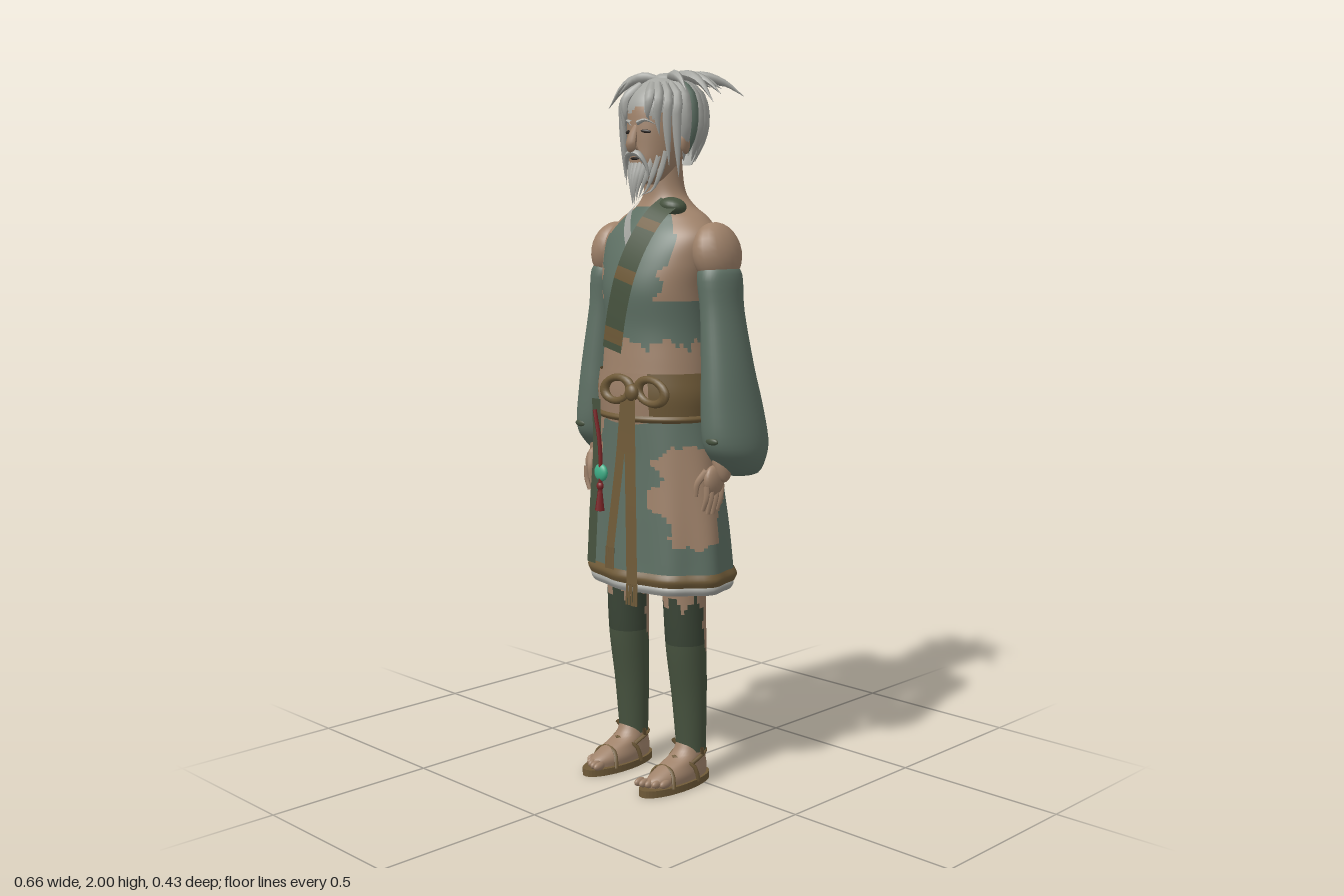
import * as THREE from 'three';

const mat = (name, color, side = THREE.DoubleSide) => {
  const m = new THREE.MeshStandardMaterial({ color, side });
  m.name = name;
  return m;
};
const V = (p) => new THREE.Vector3(...p);

export function createModel() {
  const skin = mat('skin', 0x9f826a), tunic = mat('tunicGreen', 0x5e7064), dark = mat('darkGreen', 0x47533f),
    band = mat('bandGreen', 0x3a4536), brown = mat('beltBrown', 0x6f5a38), hair = mat('greyHair', 0xa5a6a1),
    jade = mat('jade', 0x3fae87), red = mat('cordRed', 0x7c2426), ink = mat('ink', 0x2c2622);
  const model = new THREE.Group();
  model.name = 'elderWanderer';

  const add = (name, geo, material, parent = model) => {
    const m = new THREE.Mesh(geo, material);
    m.name = name;
    parent.add(m);
    return m;
  };
  const ball = (name, pos, size, material, rot = [0, 0, 0], parent = model) => {
    const m = add(name, new THREE.SphereGeometry(1, 20, 14), material, parent);
    m.position.set(...pos); m.scale.set(...size); m.rotation.set(...rot);
    return m;
  };

  // Smooth body of elliptic rings [y, cx, cz, rx, rz], bottom to top.
  // pick(angle, y) gives the material of each face; angle 0 is the front, null leaves a hole.
  const loft = (name, rings, pick, { seg = 40, rows = 32, ruffle = () => 0, parent = model } = {}) => {
    const f = new THREE.CubicInterpolant(rings.map((_, i) => i), rings.flat(), 5);
    const pos = [], buckets = new Map();
    for (let i = 0; i <= rows; i++) {
      const [y, cx, cz, rx, rz] = f.evaluate((i / rows) * (rings.length - 1));
      for (let j = 0; j < seg; j++) {
        const a = (j / seg) * Math.PI * 2, k = 1 + ruffle(a, y);
        pos.push(cx + Math.abs(rx) * k * Math.sin(a), y, cz + Math.abs(rz) * k * Math.cos(a));
      }
    }
    for (let i = 0; i < rows; i++) for (let j = 0; j < seg; j++) {
      let a = ((j + 0.5) / seg) * Math.PI * 2;
      if (a > Math.PI) a -= Math.PI * 2;
      const p = i * seg + j, q = i * seg + (j + 1) % seg;
      const m = pick(a, (pos[p * 3 + 1] + pos[(p + seg) * 3 + 1]) / 2);
      if (!m) continue;
      if (!buckets.has(m)) buckets.set(m, []);
      buckets.get(m).push(p, q, q + seg, p, q + seg, p + seg);
    }
    const geo = new THREE.BufferGeometry(), index = [], mats = [];
    for (const [m, list] of buckets) {
      geo.addGroup(index.length, list.length, mats.length);
      mats.push(m);
      index.push(...list);
    }
    geo.setAttribute('position', new THREE.Float32BufferAttribute(pos, 3));
    geo.setIndex(index);
    geo.computeVertexNormals();
    return add(name, geo, mats, parent);
  };

  // Tapered lock along a curve; w(t) is the thickness rule
  const lock = (name, pts, r, material, w = (t) => 1 - t, sides = 6, parent = model) => {
    const n = 10, curve = new THREE.CatmullRomCurve3(pts.map(V));
    const geo = new THREE.TubeGeometry(curve, n, r, sides), at = geo.attributes.position, v = new THREE.Vector3();
    for (let i = 0; i < at.count; i++) {
      const t = Math.floor(i / (sides + 1)) / n, c = curve.getPointAt(t);
      v.fromBufferAttribute(at, i).sub(c).multiplyScalar(Math.max(w(t), 0.02)).add(c);
      at.setXYZ(i, v.x, v.y, v.z);
    }
    geo.computeVertexNormals();
    return add(name, geo, material, parent);
  };
  const even = () => 1;

  // Flat cloth strip facing the front; pick(t) gives the material of each step
  const ribbon = (name, pts, width, pick, n = 28) => {
    const curve = new THREE.CatmullRomCurve3(pts.map(V)), pos = [], index = [], mats = [], geo = new THREE.BufferGeometry();
    for (let i = 0; i <= n; i++) {
      const p = curve.getPoint(i / n), t = curve.getTangent(i / n);
      const s = new THREE.Vector3(-t.y, t.x, 0).normalize().multiplyScalar(width / 2);
      pos.push(p.x - s.x, p.y - s.y, p.z, p.x + s.x, p.y + s.y, p.z);
      if (i === n) break;
      const k = i * 2, m = pick((i + 0.5) / n);
      if (!mats.includes(m)) mats.push(m);
      geo.addGroup(index.length, 6, mats.indexOf(m));
      index.push(k, k + 1, k + 3, k, k + 3, k + 2);
    }
    geo.setAttribute('position', new THREE.Float32BufferAttribute(pos, 3));
    geo.setIndex(index);
    geo.computeVertexNormals();
    return add(name, geo, mats);
  };

  // Torso: sleeveless green front, bare back, sides and belly
  loft('torso', [[1.0, 0, .03, .172, .13], [1.1, 0, .03, .174, .142], [1.2, 0, .025, .168, .142], [1.3, 0, .025, .16, .137],
    [1.4, 0, .03, .165, .14], [1.48, 0, .022, .182, .13], [1.55, 0, .008, .19, .113], [1.6, 0, -.002, .145, .09],
    [1.635, 0, -.005, .09, .068], [1.68, 0, 0, .06, .054], [1.78, 0, .01, .056, .05]], (a, y) => {
    const b = Math.abs(a), jag = .012 * Math.sin(a * 9) + .008 * Math.sin(a * 23);
    if (b > 1.9) return y < 1.27 + jag * 3 ? tunic : skin;
    if (y < 1.26 + jag || y > 1.63) return skin;
    const edge = y > 1.47 ? .8 - (y - 1.47) * .6 : y > 1.38 ? .72 + .1 * Math.sin(y * 90) : 1.9;
    return b < edge ? tunic : skin;
  }, { seg: 80, rows: 80 });

  // Skirt with soft folds, worn patches, hem and underskirt
  const folds = (a, y) => .025 * Math.cos(a * 9) * THREE.MathUtils.clamp((1.05 - y) / .4, 0, 1);
  loft('skirt', [[.61, 0, .015, .234, .162], [.75, 0, .018, .222, .153], [.9, 0, .023, .202, .143], [1.06, 0, .028, .178, .137]], (a, y) => {
    const n = .08 * Math.sin(y * 55) + .05 * Math.sin(a * 17);
    const right = Math.abs(a + 1.15 + (y - .85) * .5) < .2 + (y - .6) * 1.1 + n && y > .64;
    const left = Math.hypot((a - 1.15) / .65, (y - .85) / .14) < 1 + n * 1.6;
    return right || left ? skin : tunic;
  }, { seg: 90, rows: 50, ruffle: folds });
  const hoop = (name, y0, y1, rx, rz, cz, m) => loft(name, [[y0, 0, cz, rx, rz], [(y0 + y1) / 2, 0, cz, rx + .007, rz + .007],
    [y1, 0, cz, rx - .001, rz - .001]], () => m, { seg: 72, rows: 6, ruffle: folds });
  hoop('skirtHem', .592, .628, .236, .164, .015, brown);
  hoop('underskirt', .568, .598, .226, .156, .015, hair);
  hoop('skirtWaistRim', 1.045, 1.065, .181, .142, .028, brown);

  // Broad belt, open over the belly
  loft('belt', [[1.06, 0, .028, .181, .142], [1.12, 0, .028, .187, .149], [1.18, 0, .026, .177, .15]],
    (a) => (a > -.75 && a < .5 ? skin : brown), { seg: 72, rows: 8 });

  // Bow and hanging sash tails
  for (const s of [-1, 1]) {
    const loop = add('bowLoop', new THREE.TorusGeometry(.038, .012, 8, 24), brown);
    loop.position.set(.06 + s * .06, 1.135, .178 - s * .006);
    loop.scale.set(1.35, .85, .9);
    loop.rotation.z = s * -.15;
  }
  ball('bowKnot', [.06, 1.13, .187], [.022, .024, .016], brown);
  for (const [x0, x1, y1, w] of [[.035, -.002, .69, .032], [.055, .085, .6, .042]]) {
    ribbon('sashTail', [[x0, 1.12, .19], [x0 + (x1 - x0) * .3, .95, .198], [x0 + (x1 - x0) * .7, .8, .207], [x1, y1, .213]], w, () => brown);
    for (let i = -2; i <= 2; i++)
      lock('sashFringe', [[x1 + i * w * .21, y1 + .005, .213], [x1 + i * w * .23, y1 - .055, .215]], .004, brown, even, 4);
  }

  // Dark strip, red cord with jade bead and tassel
  ribbon('hangingStrip', [[-.09, 1.1, .18], [-.092, .95, .176], [-.102, .8, .18], [-.112, .63, .182]], .034, () => dark);
  lock('pendantCord', [[-.088, 1.07, .188], [-.072, .97, .184], [-.072, .8, .184]], .006, red, even);
  ball('jadeBead', [-.072, .893, .18], [.025, .025, .012], jade);
  ball('cordKnot', [-.072, .855, .184], [.011, .012, .009], red);
  lock('tassel', [[-.072, .84, .184], [-.074, .785, .184]], .014, red, (t) => .5 + t * .5);

  // Diagonal chest band, rolled end, collar strips
  ribbon('chestBand', [[-.028, 1.24, .178], [-.002, 1.35, .182], [.025, 1.45, .176], [.048, 1.54, .146], [.066, 1.61, .1], [.076, 1.645, .055]],
    .074, (t) => ([.08, .4, .72].some((c) => Math.abs(t - c) < .045) ? brown : dark));
  ball('chestBandRoll', [.076, 1.632, .045], [.042, .024, .034], dark, [0, 0, -.15]);
  ribbon('collar', [[-.076, 1.642, .03], [-.055, 1.612, .083], [-.02, 1.565, .125], [.012, 1.525, .148]], .032, () => hair);
  ribbon('collarEdge', [[.012, 1.535, .15], [.002, 1.46, .17], [-.02, 1.4, .177]], .01, () => hair);
  ball('backCollar', [.01, 1.613, -.083], [.04, .011, .012], hair, [0, 0, .1]);

  for (const s of [-1, 1]) {
    // Shoulder, sleeve and hand
    const arm = new THREE.Group();
    arm.name = s > 0 ? 'leftArm' : 'rightArm';
    model.add(arm);
    ball('shoulder', [s * .2, 1.505, 0], [.058, .085, .078], skin, [0, 0, s * .2], arm);
    loft('sleeve', [[.9, .248, -.05, .004, .006], [.905, .25, -.046, .045, .055], [.95, .255, -.03, .068, .088], [1.0, .254, -.02, .074, .107],
      [1.1, .246, -.012, .068, .1], [1.2, .238, -.004, .06, .085], [1.35, .221, 0, .051, .07], [1.45, .21, 0, .053, .07],
      [1.478, .207, 0, .03, .04]].map(([y, x, ...r]) => [y, s * x, ...r]), () => tunic, { parent: arm });
    ball('cuffSeam', [s * .262, 1.005, .083], [.022, .01, .008], dark, [0, 0, 0], arm);
    ball('wrist', [s * .245, .945, .025], [.024, .06, .03], skin, [0, 0, s * .2], arm);
    ball('palm', [s * .238, .893, .048], [.018, .042, .037], skin, [0, 0, 0], arm);
    for (let i = 0; i < 4; i++) {
      const z = .022 + i * .019, y = .808 - [0, -.01, -.008, .004][i] * -1;
      lock('finger', [[s * .24, .88, z], [s * .24, .845, z + .002], [s * .228, y, z + .002]], .0095, skin, (t) => 1 - t * .4, 8, arm);
    }
    lock('thumb', [[s * .232, .92, .07], [s * .215, .885, .09], [s * .21, .85, .092]], .011, skin, (t) => 1 - t * .4, 8, arm);

    // Leg with legging, ragged at the top
    const leg = new THREE.Group();
    leg.name = s > 0 ? 'leftLeg' : 'rightLeg';
    model.add(leg);
    loft('legging', [[.08, .118, .01, .043, .04], [.25, .117, .018, .051, .049], [.4, .116, .03, .057, .059], [.55, .113, .035, .06, .064],
      [.8, .1, .03, .078, .08], [1.0, .09, .03, .08, .08]].map(([y, x, ...r]) => [y, s * x, ...r]), (a, y) => {
      const jag = .018 * Math.sin(a * 6) + .01 * Math.sin(a * 15);
      const worn = Math.hypot((Math.abs(a) - 2.3) / .5, (y - .47) / .09) < 1;
      return y < .1 || y > .535 + jag || worn ? skin : y > .415 ? band : dark;
    }, { rows: 60, parent: leg });

    // Foot and sandal
    const outline = new THREE.Shape().absellipse(0, 0, .053, .132, 0, Math.PI * 2);
    const sole = add('sandalSole', new THREE.ExtrudeGeometry(outline, { depth: .02, bevelEnabled: false, curveSegments: 24 }), brown, leg);
    sole.rotation.x = -Math.PI / 2;
    sole.position.set(s * .117, 0, .077);
    loft('foot', [[.018, .117, .068, .044, .112], [.04, .117, .066, .046, .112], [.065, .117, .045, .042, .085], [.09, .117, .02, .041, .052],
      [.13, .118, .012, .038, .036]].map(([y, x, ...r]) => [y, s * x, ...r]), () => skin, { rows: 16, parent: leg });
    for (let i = 0; i < 5; i++)
      ball('toe', [s * (.084 + i * .0165), .031, .183 - i * i * .0022], [.0095, .012, .02], skin, [0, 0, 0], leg);
    const strap = (pts) => lock('sandalStrap', pts.map(([x, y, z]) => [s * (.117 + x), y, z]), .006, brown, even, 6, leg);
    strap([[-.05, .015, .13], [-.034, .054, .12], [0, .066, .115], [.034, .054, .12], [.05, .015, .13]]);
    strap([[-.05, .015, .03], [-.046, .06, .045], [0, .084, .078], [.046, .06, .045], [.05, .015, .03]]);
    strap([[-.044, .07, .05], [-.046, .09, .005], [0, .085, -.037], [.046, .09, .005], [.044, .07, .05]]);
    for (const t of [-1, 1]) strap([[t * .045, .085, .01], [t * .058, .11, .025]]);
  }

  // Head and face
  loft('head', [[1.69, 0, .06, .012, .012], [1.705, 0, .055, .038, .042], [1.74, 0, .043, .062, .07], [1.79, 0, .025, .077, .09],
    [1.85, 0, .012, .085, .103], [1.91, 0, .005, .084, .1], [1.96, 0, 0, .05, .06], [1.975, 0, 0, .005, .005]], () => skin);
  lock('nose', [[0, 1.85, .108], [0, 1.82, .122], [0, 1.79, .128], [0, 1.782, .11]], .014, skin, (t) => .45 + .6 * Math.sin(t * 2.2), 8);
  for (const s of [-1, 1]) {
    ball('ear', [s * .088, 1.805, .01], [.012, .033, .02], skin, [.15, s * .3, 0]);
    ball('eye', [s * .034, 1.832, .106], [.016, .005, .004], ink, [0, s * .35, s * -.1]);
    lock('eyebrow', [[s * .012, 1.855, .116], [s * .035, 1.862, .11], [s * .062, 1.848, .09]], .007, hair);
    lock('moustache', [[0, 1.777, .122], [s * .022, 1.77, .12], [s * .04, 1.735, .108], [s * .042, 1.69, .105]], .011, hair);
  }
  ball('mouth', [0, 1.76, .115], [.016, .004, .006], ink);
  for (let i = -5; i <= 5; i++) {
    const u = i / 5, z = .112 - u * u * .045;
    lock('beardLock', [[u * .06, 1.745 + u * u * .035, z - .008], [u * .05, 1.71, z + .006], [u * .03, 1.675, z + .012],
      [u * .022, 1.632 + Math.abs(u) * .03, .122 - Math.abs(u) * .012]], .013, hair);
  }

  // Hair cap with an open face, laid with locks
  loft('hairCap', [[1.745, 0, -.03, .06, .05], [1.78, 0, -.018, .082, .08], [1.83, 0, -.004, .095, .105], [1.89, 0, .002, .099, .113],
    [1.94, 0, 0, .084, .094], [1.975, 0, -.005, .045, .05], [1.985, 0, -.005, .004, .004]], (a, y) => {
    const b = Math.abs(a);
    return y > 1.895 - b * .03 + .012 * Math.sin(a * 9) || b > 1.95 || (b > 1.15 && y > 1.845) ? hair : null;
  }, { seg: 60, rows: 40 });
  const locks = 17;
  for (let i = 0; i < locks; i++) {
    const a = Math.PI + ((i / (locks - 1)) * 2 - 1) * 1.75, s = Math.sin(a), c = Math.cos(a), d = i % 2;
    lock('hairLock', [[s * .035, 1.977, c * .04], [s * .086, 1.935, c * .096], [s * .1, 1.88, c * .113], [s * .096, 1.82, c * .107 - .004],
      [s * .07, 1.755 + d * .02, c * .075 - .018]], .02, d && i % 4 === 1 ? tunic : hair, (t) => Math.sin(.5 + t * 2.6));
  }
  for (const s of [-1, 1]) for (let i = 0; i < 4; i++) {
    const x = .035 + i * .02, z = .1 - i * .017;
    lock('templeLock', [[s * x * .6, 1.962, z * .7], [s * (x + .01), 1.92, z + .004], [s * (x + .008), 1.87, z + .008],
      [s * (x + .01), [1.88, 1.84, 1.76, 1.73][i] - .02, z + .002]], .014, hair, (t) => Math.sin(.6 + t * 2.5));
  }

  // Topknot and its fan of spikes
  ball('topknot', [0, 1.975, -.01], [.04, .02, .04], hair);
  const tips = [[.204, .02, 1.905], [.165, -.145, 1.93], [.104, -.155, 1.96], [.026, -.215, 1.968], [.185, -.03, 1.93], [.13, -.09, 1.95],
    [.065, -.12, 1.965], [.13, .05, 1.94]];
  for (const s of [-1, 1]) for (const [x, z, y] of tips)
    lock('topSpike', [[s * .01, 1.97, -.005], [s * x * .4, 1.984, z * .4], [s * x * .72, 1.98 - (1.97 - y) * .25, z * .72], [s * x, y, z]],
      .016, hair, (t) => (t < .45 ? .55 + t : 1.82 * (1 - t)));
  return model;
}
